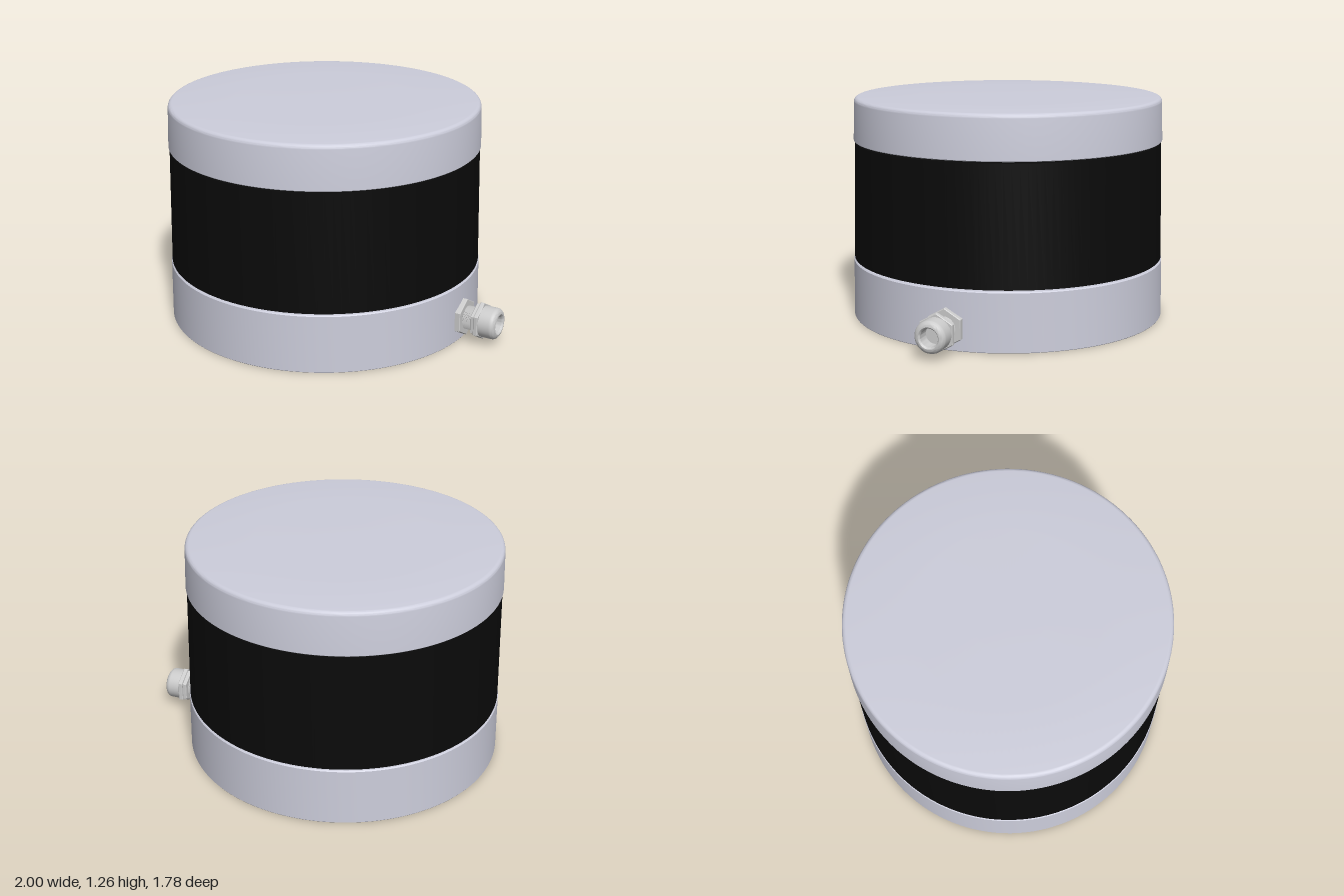
import * as THREE from 'three';
import { toCreasedNormals } from 'three/addons/utils/BufferGeometryUtils.js';

const AXIS_X = -0.11; // centre of the round body
const metal = new THREE.MeshStandardMaterial({ color: 0xcccddb });
const black = new THREE.MeshStandardMaterial({ color: 0x0a0a0a });
const grey = new THREE.MeshStandardMaterial({ color: 0xcccccc });

function add(parent, name, geometry, material) {
  const mesh = new THREE.Mesh(geometry, material);
  mesh.name = name;
  parent.add(mesh);
  return mesh;
}

// Profile given as [radius, height] pairs, bottom to top on the outside
function turned(profile, segments = 128) {
  const points = profile.map(([r, y]) => new THREE.Vector2(r, y));
  return toCreasedNormals(new THREE.LatheGeometry(points, segments), 0.5);
}

function circlePath(x, y, r) {
  return new THREE.Path().absarc(x, y, r, 0, Math.PI * 2, true);
}

function roundedRectPath(x0, y0, x1, y1, r) {
  const p = new THREE.Path();
  p.absarc(x0 + r, y0 + r, r, Math.PI, Math.PI * 1.5);
  p.absarc(x1 - r, y0 + r, r, -Math.PI / 2, 0);
  p.absarc(x1 - r, y1 - r, r, 0, Math.PI / 2);
  p.absarc(x0 + r, y1 - r, r, Math.PI / 2, Math.PI);
  p.closePath();
  return p;
}

// Flat disc between two heights, pierced by the given holes
function plate(radius, y0, y1, holes) {
  const shape = new THREE.Shape().absarc(0, 0, radius, 0, Math.PI * 2);
  shape.holes.push(...holes);
  const g = new THREE.ExtrudeGeometry(shape, { depth: y1 - y0, bevelEnabled: false, curveSegments: 48 });
  return g.rotateX(Math.PI / 2).translate(0, y1, 0);
}

function createBody() {
  const body = new THREE.Group();
  body.name = 'body';
  body.position.x = AXIS_X;

  add(body, 'baseHousing', turned([
    [0, 0.1], [0.87, 0.1], [0.87, 0], [0.888, 0], [0.89, 0.003],
    [0.886, 0.322], [0.88, 0.328], [0.8, 0.328],
  ]), metal);
  add(body, 'lowerGasket', turned([[0.815, 0.32], [0.815, 0.345]]), metal);
  add(body, 'windowBand', turned([
    [0.8, 0.336], [0.882, 0.336], [0.87, 0.997], [0.8, 0.997],
  ]), black);
  add(body, 'upperGasket', turned([[0.805, 0.99], [0.805, 1.015]]), metal);

  // Cap with a rounded rim and a slightly raised centre
  const cap = [[0.8, 1.005], [0.872, 1.005], [0.876, 1.009]];
  for (let i = 0; i <= 6; i++) {
    const a = (i / 6) * Math.PI / 2;
    cap.push([0.846 + 0.024 * Math.cos(a), 1.226 + 0.024 * Math.sin(a)]);
  }
  cap.push([0.5, 1.254], [0.2, 1.257], [0, 1.258]);
  add(body, 'cap', turned(cap), metal);

  // Underside: two shallow recesses, two mounting holes and a central socket
  const underside = new THREE.Group();
  underside.name = 'underside';
  underside.rotation.y = -0.09;
  const bores = (r) => [circlePath(0, -0.765, 0.034), circlePath(0, 0.765, 0.034), circlePath(0, 0, r)];
  const recesses = [
    roundedRectPath(-0.4, -0.61, 0.4, -0.165, 0.09),
    roundedRectPath(-0.4, 0.165, 0.4, 0.61, 0.09),
  ];
  add(underside, 'recessedPlate', plate(0.875, 0, 0.01, [...bores(0.06), ...recesses]), metal);
  add(underside, 'mountingPlate', plate(0.875, 0.01, 0.1, bores(0.042)), metal);
  body.add(underside);
  return body;
}

// Cable gland built upright along y, then laid along +x
function createGland() {
  const gland = new THREE.Group();
  gland.name = 'cableGland';
  gland.position.set(0.76, 0.125, 0);
  gland.rotation.z = -Math.PI / 2;

  // Hexagonal nut with chamfered corners
  const hexNut = (name, r, y0, y1) => {
    const chamfer = 0.004;
    const g = turned([
      [0, y0], [r - chamfer, y0], [r, y0 + chamfer], [r, y1 - chamfer], [r - chamfer, y1], [0, y1],
    ], 6);
    add(gland, name, g.rotateY(Math.PI / 2), grey);
  };
  hexNut('lockNut', 0.108, 0, 0.044);

  const thread = [];
  for (let i = 0; i <= 7; i++) {
    const y = 0.042 + i * 0.008;
    thread.push([0.058, y], [0.066, y + 0.004]);
  }
  add(gland, 'thread', turned(thread, 40), grey);

  hexNut('bodyNut', 0.097, 0.1, 0.125);
  hexNut('domeNut', 0.108, 0.122, 0.147);

  // Rounded dome that turns inward at the cable opening
  const dome = [[0.088, 0.14]];
  for (let i = 0; i <= 8; i++) {
    const a = (i / 8) * Math.PI / 2;
    dome.push([0.058 + 0.03 * Math.cos(a), 0.21 + 0.03 * Math.sin(a)]);
  }
  dome.push([0.054, 0.237], [0.05, 0.23], [0.05, 0.16], [0, 0.16]);
  add(gland, 'dome', turned(dome, 48), grey);
  return gland;
}

export function createModel() {
  const model = new THREE.Group();
  model.name = 'cylindricalSensor';
  model.add(createBody(), createGland());
  return model;
}
